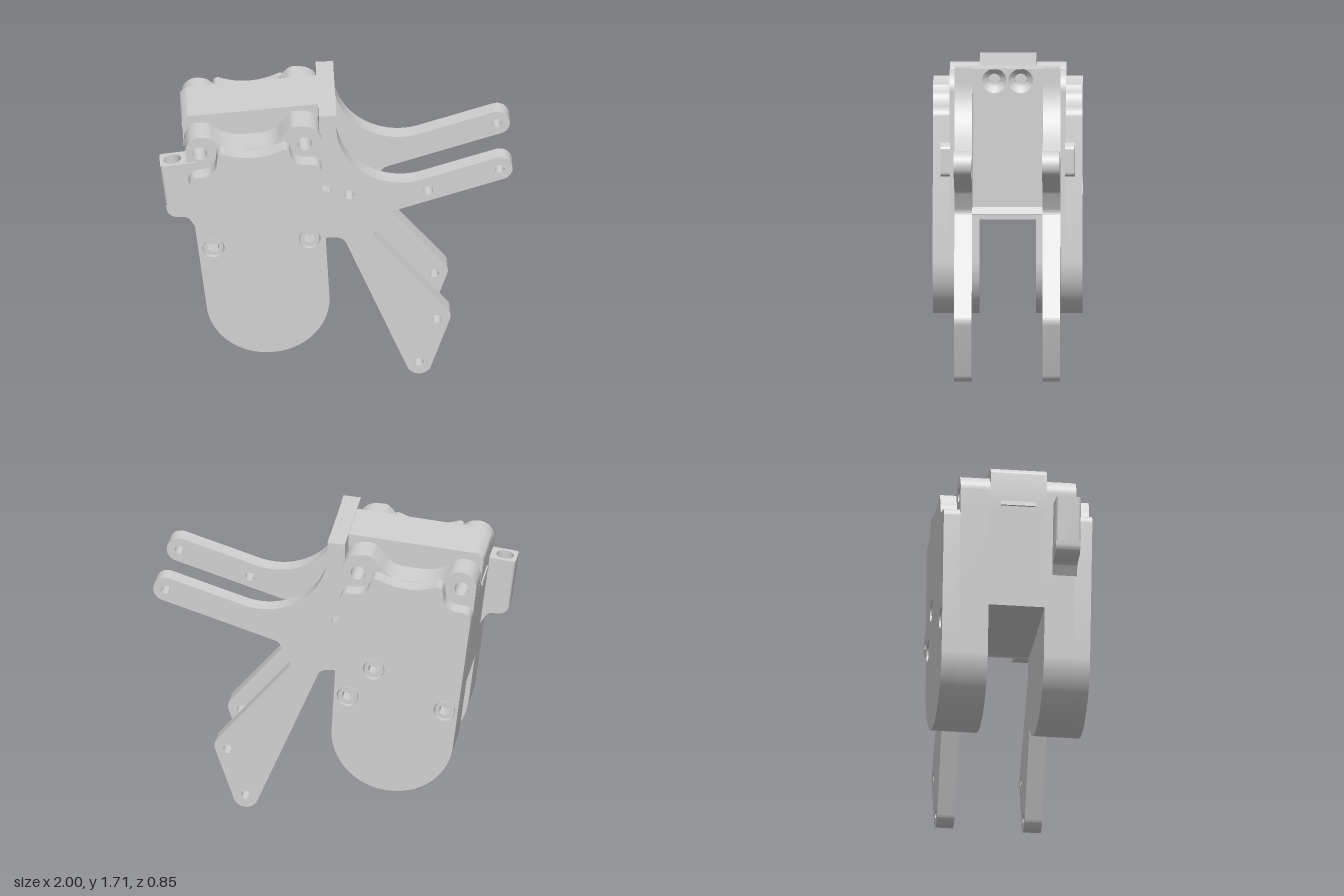
import * as THREE from 'three';
import { toCreasedNormals } from 'three/addons/utils/BufferGeometryUtils.js';

const grey = new THREE.MeshStandardMaterial({ color: 0xd1d1d1 });
grey.name = 'lightGrey';

// Closed outline from corners [x, y, radius], each rounded by a true arc
function outline(corners, holes = []) {
  const shape = new THREE.Shape();
  const n = corners.length;
  corners.forEach(([x, y, r = 0], i) => {
    const p = new THREE.Vector2(x, y);
    const a = new THREE.Vector2(...corners[(i + n - 1) % n].slice(0, 2)).sub(p).normalize();
    const b = new THREE.Vector2(...corners[(i + 1) % n].slice(0, 2)).sub(p).normalize();
    const half = Math.acos(THREE.MathUtils.clamp(a.dot(b), -1, 1)) / 2;
    const t = r / Math.tan(half);
    const s = p.clone().addScaledVector(a, t);
    if (i === 0) shape.moveTo(s.x, s.y); else shape.lineTo(s.x, s.y);
    if (!r) return;
    const e = p.clone().addScaledVector(b, t);
    const c = p.clone().addScaledVector(a.clone().add(b).normalize(), r / Math.sin(half));
    shape.absarc(c.x, c.y, r, Math.atan2(s.y - c.y, s.x - c.x),
      Math.atan2(e.y - c.y, e.x - c.x), a.cross(b) > 0);
  });
  shape.closePath();
  for (const [x, y, r] of holes) shape.holes.push(circle(x, y, r));
  return shape;
}

function circle(x, y, r, Type = THREE.Path) {
  const path = new Type();
  path.absarc(x, y, r, 0, Math.PI * 2, false);
  return path;
}

function slab(shape, z0, z1) {
  const g = new THREE.ExtrudeGeometry(shape, { depth: z1 - z0, bevelEnabled: false, curveSegments: 20 });
  return g.translate(0, 0, z0);
}

export function createModel() {
  const model = new THREE.Group();
  const add = (name, geometry, parent = model) => {
    const mesh = new THREE.Mesh(toCreasedNormals(geometry, 0.5), grey);
    mesh.name = name;
    parent.add(mesh);
    return mesh;
  };
  // Slab between distances d0 and d1 from the middle, on side s
  const sideSlab = (name, shape, s, d0, d1, parent) =>
    add(name, slab(shape, s > 0 ? d0 : -d1, s > 0 ? d1 : -d0), parent);

  const pins = [[-0.775, 1.493, 0.042], [-0.18, 1.548, 0.042]];
  const bowl = [[-0.7, 0.23, 0.345], [-0.024, 0.23, 0.345]];

  // Forked arm: both have the end holes, only the front one has the two inner holes
  const armCorners = [
    [-0.1, 1.705], [0, 1.713], [0, 1.125, 0.37], [0.972, 1.436, 0.0715], [1.016, 1.298, 0.0715],
    [0.28, 1.062, 0.06], [0.205, 0.92, 0.04], [0.655, 0.388, 0.06], [0.474, -0.13, 0.072],
    [0.04, 0.905, 0.06], [-0.07, 0.905], [-0.1, 1.4],
  ];
  const endHoles = [[0.925, 1.342, 0.026], [0.57, 0.357, 0.026], [0.467, 0.075, 0.026]];
  const innerHoles = [[0.073, 1.186, 0.028], [0.52, 1.207, 0.028]];

  // Pod body with two pin bosses on top
  const body = outline([
    ...bowl, [-0.09, 1.46], [-0.083, 1.658, 0.1], [-0.25, 1.664, 0.06], [-0.36, 1.53, 0.15],
    [-0.62, 1.508, 0.25], [-0.72, 1.592, 0.08], [-0.87, 1.612, 0.09], [-0.845, 1.385],
  ], pins);

  // Outer cover, cut back around the bosses
  const coverCorners = [
    ...bowl, [-0.09, 1.46, 0.05], [-0.25, 1.465, 0.08], [-0.275, 1.577, 0.03], [-0.49, 1.485, 0.4],
    [-0.675, 1.553, 0.03], [-0.69, 1.395, 0.09], [-0.845, 1.385, 0.05],
  ];
  const clip = outline([[-0.1, 1.06], [-0.03, 1.09, 0.02], [-0.03, 1.25, 0.02], [-0.1, 1.275]]);

  for (const s of [1, -1]) {
    const side = new THREE.Group();
    side.name = s > 0 ? 'frontSide' : 'backSide';
    model.add(side);
    const arm = outline(armCorners, s > 0 ? [...endHoles, ...innerHoles] : endHoles);
    sideSlab('forkArm', arm, s, 0.2, 0.3, side);
    sideSlab('podBody', body, s, 0.16, 0.33, side);
    sideSlab('clip', clip, s, 0.325, 0.38, side);

    // The back cover has three screws, set lower than the front two
    const screws = s > 0 ? [[-0.7, 0.925], [-0.155, 0.975]]
      : [[-0.69, 0.76], [-0.135, 0.81], [-0.285, 0.99]];
    const cover = outline(coverCorners, screws.map(([x, y]) => [x, y, 0.062]));
    sideSlab('podCover', cover, s, 0.33, 0.424, side);
    for (const [x, y] of screws) {
      const head = circle(x, y, 0.054, THREE.Shape);
      const socket = new THREE.Path();
      for (let i = 0; i <= 6; i++) {
        const a = i * Math.PI / 3 + Math.PI / 6;
        const px = x + 0.035 * Math.cos(a), py = y + 0.035 * Math.sin(a);
        if (i) socket.lineTo(px, py); else socket.moveTo(px, py);
      }
      head.holes.push(socket);
      sideSlab('screwHead', head, s, 0.33, 0.414, side);
    }
  }

  // Housing between the pods, its rear wall in line with theirs
  add('housing', slab(outline([
    [-0.774, 0.82], [-0.1, 0.82], [-0.1, 1.705], [-0.84, 1.638, 0.03], [-0.875, 1.605, 0.02],
    [-0.845, 1.385],
  ], pins), -0.16, 0.16));
  const ridge = add('rearRidge', new THREE.BoxGeometry(0.02, 0.025, 0.2));
  ridge.position.set(-0.85, 1.42, 0);

  // Mounting plate joining the arms, with two countersunk holes
  const plate = (x0, x1, r) => slab(outline(
    [[-0.3, 0.905], [0.3, 0.905], [0.3, 1.708], [-0.3, 1.708]],
    [[-0.075, 1.64, r], [0.075, 1.64, r]]), x0, x1).rotateY(Math.PI / 2);
  add('mountPlateRear', plate(-0.1, -0.035, 0.035));
  add('mountPlateFace', plate(-0.035, 0, 0.07));
  for (const z of [-0.075, 0.075]) {
    const cone = new THREE.LatheGeometry([new THREE.Vector2(0.07, 0), new THREE.Vector2(0.035, -0.035)], 32);
    add('countersink', cone.rotateZ(-Math.PI / 2)).position.set(0, 1.64, z);
  }
  // Thin lip following the underside of the arms
  add('plateLip', slab(outline([[-0.01, 0.905], [0.005, 0.903], [0.036, 0.872], [0.04, 0.876], [0, 0.912]]), -0.2, 0.2));

  // Side lug with an upright hole, leaning along the housing
  const lug = slab(outline([
    [-1, -0.34, 0.015], [-0.8, -0.34], [-0.8, -0.2], [-1, -0.2, 0.015],
  ], [[-0.93, -0.27, 0.05]]), 0, 0.26).rotateX(-Math.PI / 2);
  const pos = lug.attributes.position;
  for (let i = 0; i < pos.count; i++) {
    const x = pos.getX(i), y = pos.getY(i);
    pos.setXYZ(i, x + (0.26 - y) * 0.13, 1.155 + y + (y > 0.1 ? (x + 1) * 0.12 : 0), pos.getZ(i));
  }
  lug.computeVertexNormals();
  add('lug', lug);
  add('lugFoot', slab(outline([
    [-0.966, 1.155], [-0.955, 1.085, 0.06], [-0.84, 1.08, 0.04], [-0.79, 1.0], [-0.76, 1.155],
  ]), 0.2, 0.34));

  return model;
}
